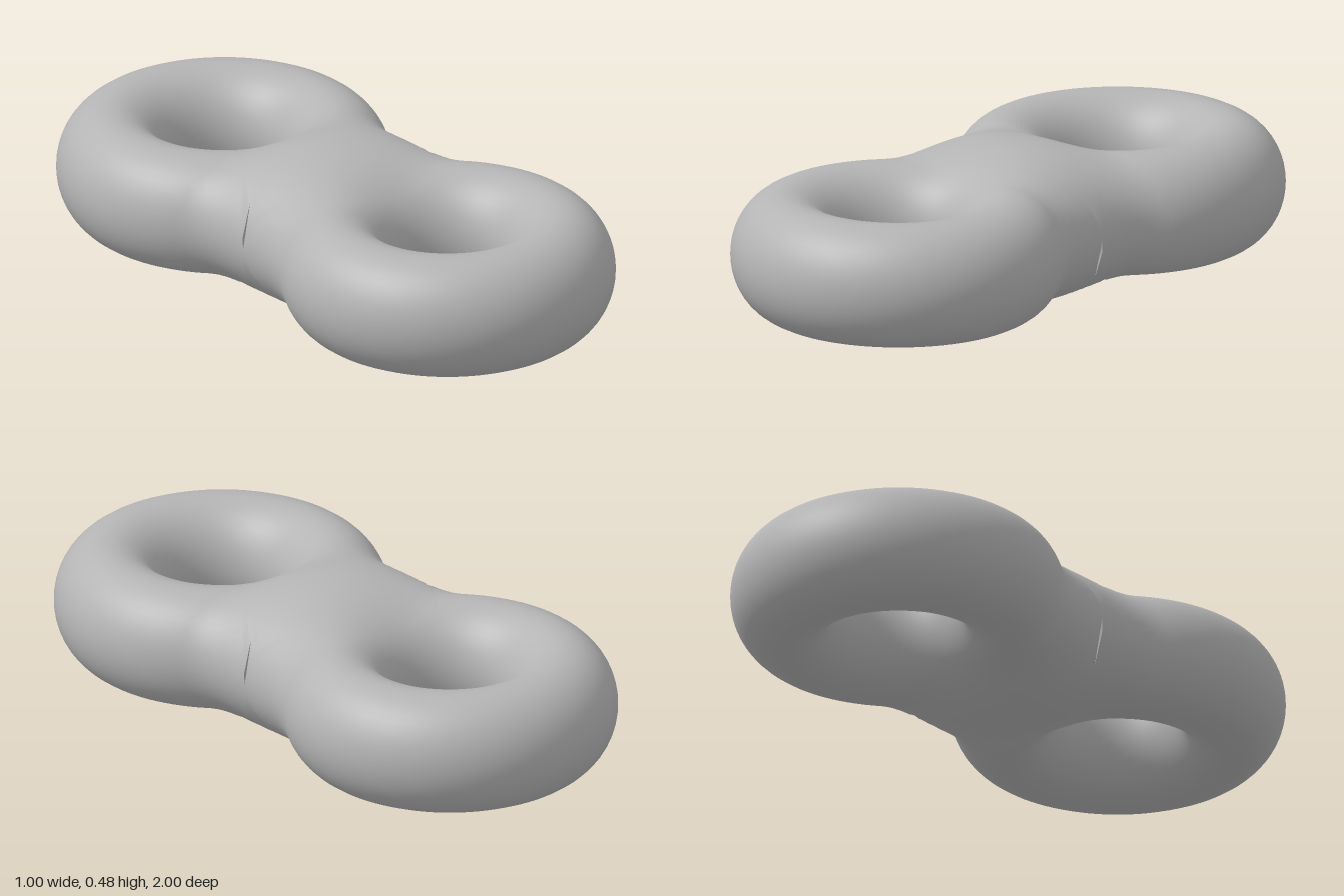
import * as THREE from 'three';

const R = 0.3375, A = 0.1625, B = 0.1875; // ring radius, tube half-width, tube half-height
const C = 0.5, MID = 0.242;               // ring centre offset, height of the middle plane

// Two elliptical tori blended smoothly; zero on the surface, negative inside
function field(x, y, z) {
  const ring = (c) => ((Math.hypot(x, z - c) - R) / A) ** 2 + (y / B) ** 2;
  const p = ring(C), q = ring(-C);
  const k = 6.56 + 12.3 * x * x;
  const h = Math.max(0, 1 - Math.abs(p - q) / k);
  return Math.min(p, q) - (k / 4) * h * h - 1;
}

function bisect(f, lo, hi) {
  for (let i = 0; i < 40; i++) {
    const m = (lo + hi) / 2;
    if (f(m) < 0) lo = m; else hi = m;
  }
  return (lo + hi) / 2;
}

// One ring with half of the bridge, cut open at z = 0
function lobeGeometry() {
  const seamN = 28, restN = 76, rows = 44;
  const waist = bisect((x) => field(x, 0, 0), 0, 0.49);
  const edge = Math.atan(waist / C);
  const pos = [], nor = [], idx = [];

  for (let i = 0; i <= seamN + restN; i++) {
    const seam = i <= seamN;
    const th = seam
      ? -edge + (2 * edge * i) / seamN
      : edge + ((2 * Math.PI - 2 * edge) * (i - seamN)) / restN;
    const s = Math.sin(th), c = Math.cos(th);
    const wall = c > 1e-4 ? C / c - R : Infinity; // distance from tube core to the cut
    let start = 0;
    if (i > 0 && i < seamN) {
      const x = s * (R + wall);
      start = Math.atan2(bisect((y) => field(x, y, 0), 0, 0.35), wall);
    }
    for (let j = 0; j <= rows; j++) {
      const ph = start + ((2 * Math.PI - 2 * start) * j) / rows;
      const u = Math.cos(ph), v = Math.sin(ph);
      const point = (t) => [s * (R + t * u), t * v, C - c * (R + t * u)];
      const far = u > 1e-4 ? Math.min(0.33, wall / u) : 0.33;
      const t = seam && (j === 0 || j === rows) ? wall / u : bisect((d) => field(...point(d)), 0, far);
      const [x, y, z] = point(t);
      const e = 1e-4;
      const n = new THREE.Vector3(
        field(x + e, y, z) - field(x - e, y, z),
        field(x, y + e, z) - field(x, y - e, z),
        field(x, y, z + e) - field(x, y, z - e)
      ).normalize();
      pos.push(x, y, z);
      nor.push(n.x, n.y, n.z);
    }
  }
  const w = rows + 1;
  for (let i = 0; i < seamN + restN; i++) {
    for (let j = 0; j < rows; j++) {
      const a = i * w + j;
      idx.push(a, a + 1, a + w, a + 1, a + w + 1, a + w);
    }
  }
  const g = new THREE.BufferGeometry();
  g.setAttribute('position', new THREE.Float32BufferAttribute(pos, 3));
  g.setAttribute('normal', new THREE.Float32BufferAttribute(nor, 3));
  g.setIndex(idx);
  return g;
}

export function createModel() {
  const group = new THREE.Group();
  group.name = 'doubleRing';
  const grey = new THREE.MeshStandardMaterial({ color: 0xb4b4b4 });
  grey.name = 'grey';
  const geometry = lobeGeometry();

  // The back ring is the front ring turned half way round
  ['frontRing', 'backRing'].forEach((name, i) => {
    const ring = new THREE.Mesh(geometry, grey);
    ring.name = name;
    ring.position.y = MID;
    ring.rotation.y = i * Math.PI;
    group.add(ring);
  });
  return group;
}
